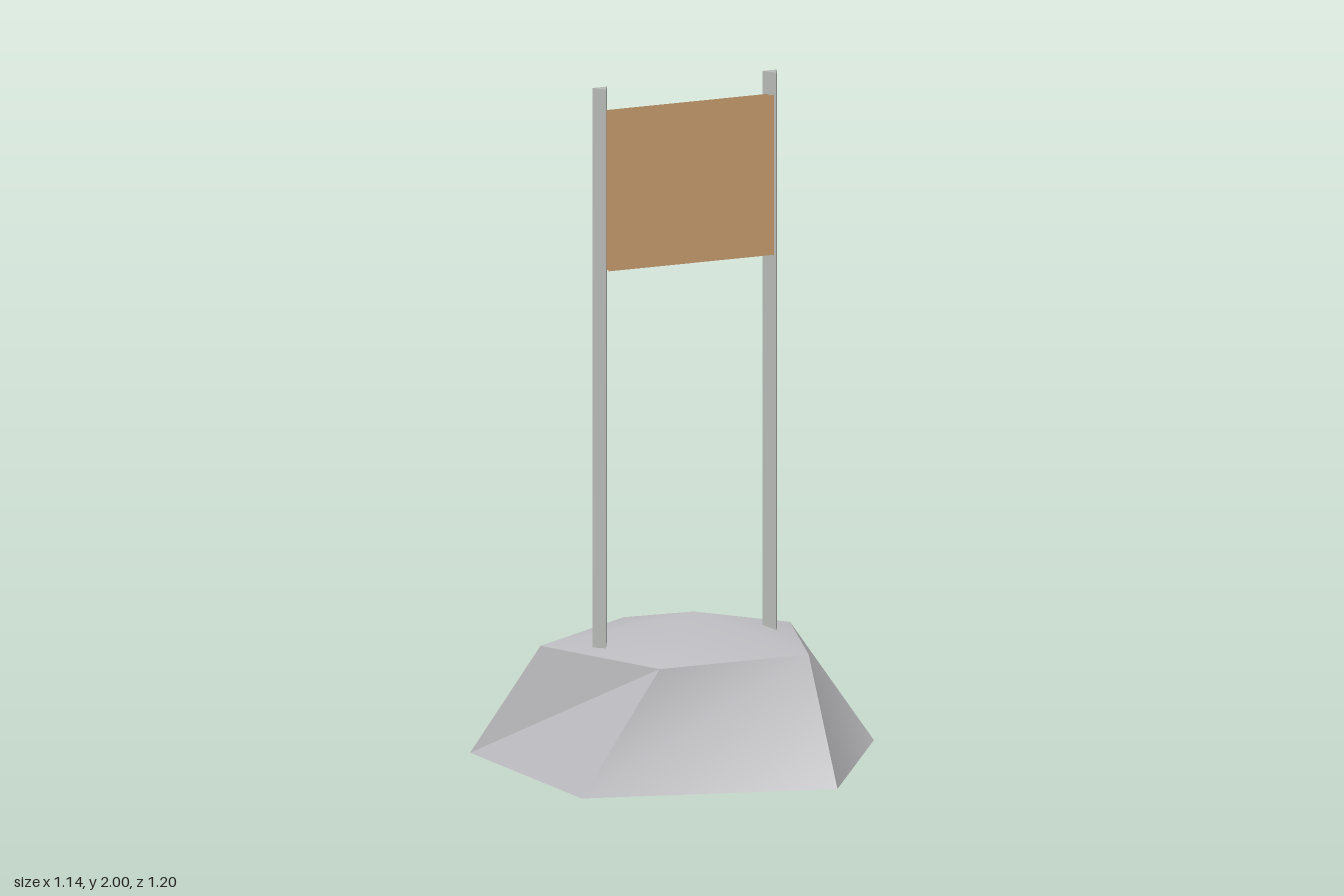
import * as THREE from 'three';
import { toCreasedNormals } from 'three/addons/utils/BufferGeometryUtils.js';

const stone = new THREE.MeshStandardMaterial({ name: 'stone grey', color: 0xbebec2, side: THREE.DoubleSide });
const metal = new THREE.MeshStandardMaterial({ name: 'post grey', color: 0xb6bab6, side: THREE.DoubleSide });
const wood = new THREE.MeshStandardMaterial({ name: 'board brown', color: 0xc49a6c, side: THREE.DoubleSide });

// Rough five-sided rock, open underneath: ground ring, shoulder ring and peak
function rockGeometry() {
  const ground = [[0.155, -0.6], [0.57, 0.01], [0.15, 0.6], [-0.57, 0.39], [-0.55, -0.355]];
  const shoulder = [[-0.035, -0.39], [0.36, -0.11], [0.19, 0.34], [-0.29, 0.335], [-0.44, -0.125]];
  const n = ground.length;
  const positions = [
    ...ground.flatMap(([x, z]) => [x, 0, z]),
    ...shoulder.flatMap(([x, z]) => [x, 0.345, z]),
    -0.01, 0.43, 0.005,
  ];
  const index = [];
  for (let i = 0; i < n; i++) {
    const j = (i + 1) % n;
    index.push(i, n + i, j); // lower wall triangle
    index.push(j, n + i, n + j); // upper wall triangle
    index.push(n + j, n + i, 2 * n); // sloping top
  }
  const geometry = new THREE.BufferGeometry();
  geometry.setAttribute('position', new THREE.Float32BufferAttribute(positions, 3));
  geometry.setIndex(index);
  return toCreasedNormals(geometry, 0.55);
}

export function createModel() {
  const model = new THREE.Group();
  model.name = 'signOnRock';

  const add = (name, geometry, material, x = 0, y = 0, z = 0) => {
    const mesh = new THREE.Mesh(geometry, material);
    mesh.name = name;
    mesh.position.set(x, y, z);
    model.add(mesh);
    return mesh;
  };

  add('rockBase', rockGeometry(), stone);

  // Three-sided posts, sunk through the top of the rock
  const bottom = 0.13;
  const height = 2 - bottom;
  const post = toCreasedNormals(new THREE.CylinderGeometry(0.0267, 0.0267, height, 3), 0.5);
  add('rightPost', post, metal, -0.32, bottom + height / 2, 0.028);
  add('leftPost', post, metal, 0.231, bottom + height / 2, 0.028);

  // Sign panel: a front and a back sheet between the posts
  const sheet = new THREE.PlaneGeometry(0.535, 0.47);
  add('boardFront', sheet, wood, -0.043, 1.7, 0.053);
  add('boardBack', sheet, wood, -0.043, 1.7, 0.032).rotation.y = Math.PI;

  return model;
}
